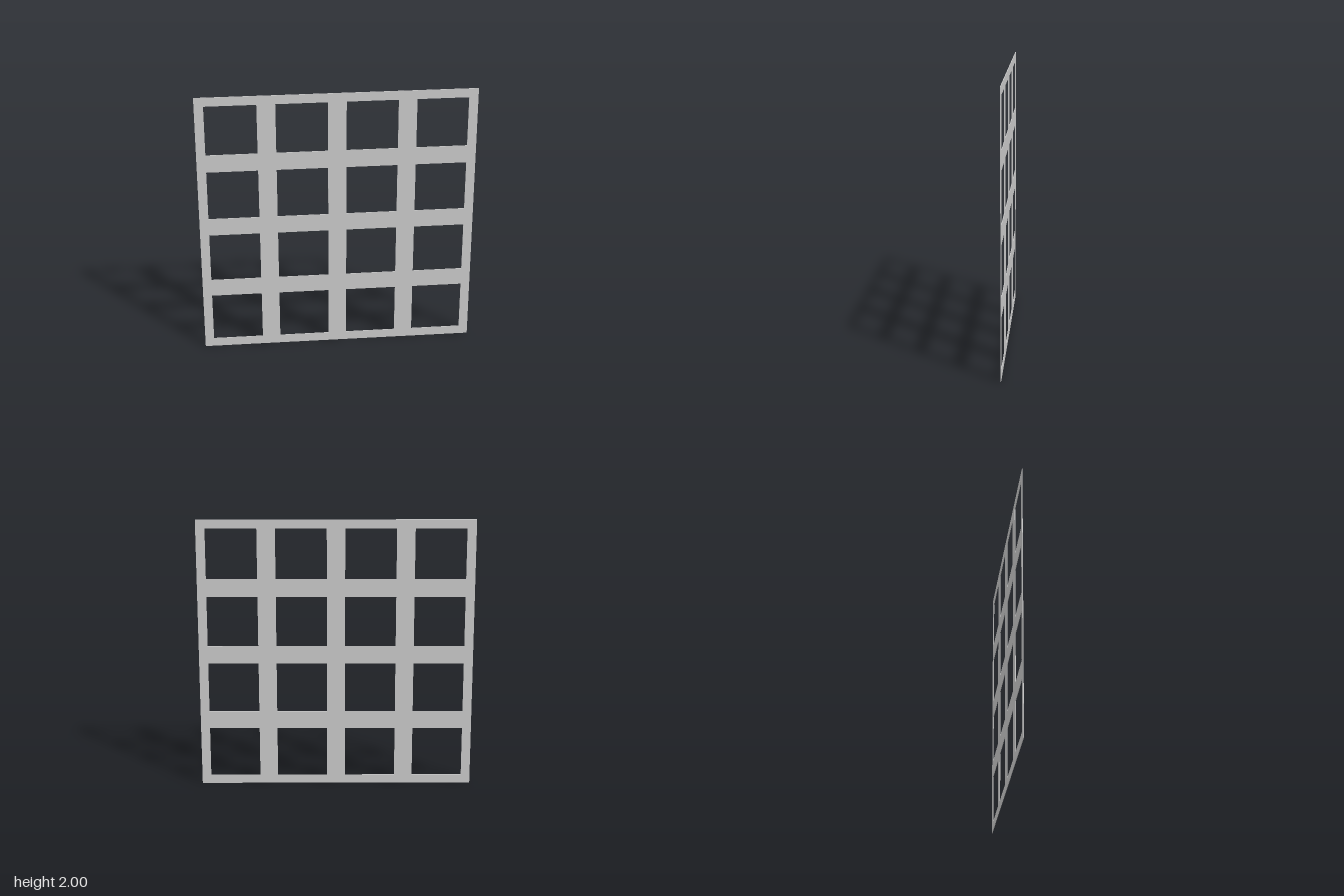
import * as THREE from 'three';

const CELLS = 4, SIZE = 2, DEPTH = 0.004;
const CELL = SIZE / CELLS, BORDER = 0.066;

// Closed square path from its lower left corner
function square(path, x, y, size) {
  path.moveTo(x, y);
  path.lineTo(x + size, y);
  path.lineTo(x + size, y + size);
  path.lineTo(x, y + size);
  path.closePath();
  return path;
}

export function createModel() {
  const group = new THREE.Group();
  group.name = 'latticePanel';

  // Thin square sheet with a regular grid of square openings
  const sheet = square(new THREE.Shape(), -SIZE / 2, 0, SIZE);
  for (let row = 0; row < CELLS; row++) {
    for (let col = 0; col < CELLS; col++) {
      const x = -SIZE / 2 + col * CELL + BORDER;
      const y = row * CELL + BORDER;
      sheet.holes.push(square(new THREE.Path(), x, y, CELL - 2 * BORDER));
    }
  }
  const geometry = new THREE.ExtrudeGeometry(sheet, { depth: DEPTH, bevelEnabled: false });
  geometry.translate(0, 0, -DEPTH / 2);

  const lattice = new THREE.Mesh(geometry, new THREE.MeshStandardMaterial({ color: 0xcccccc }));
  lattice.name = 'lattice';
  group.add(lattice);
  return group;
}
